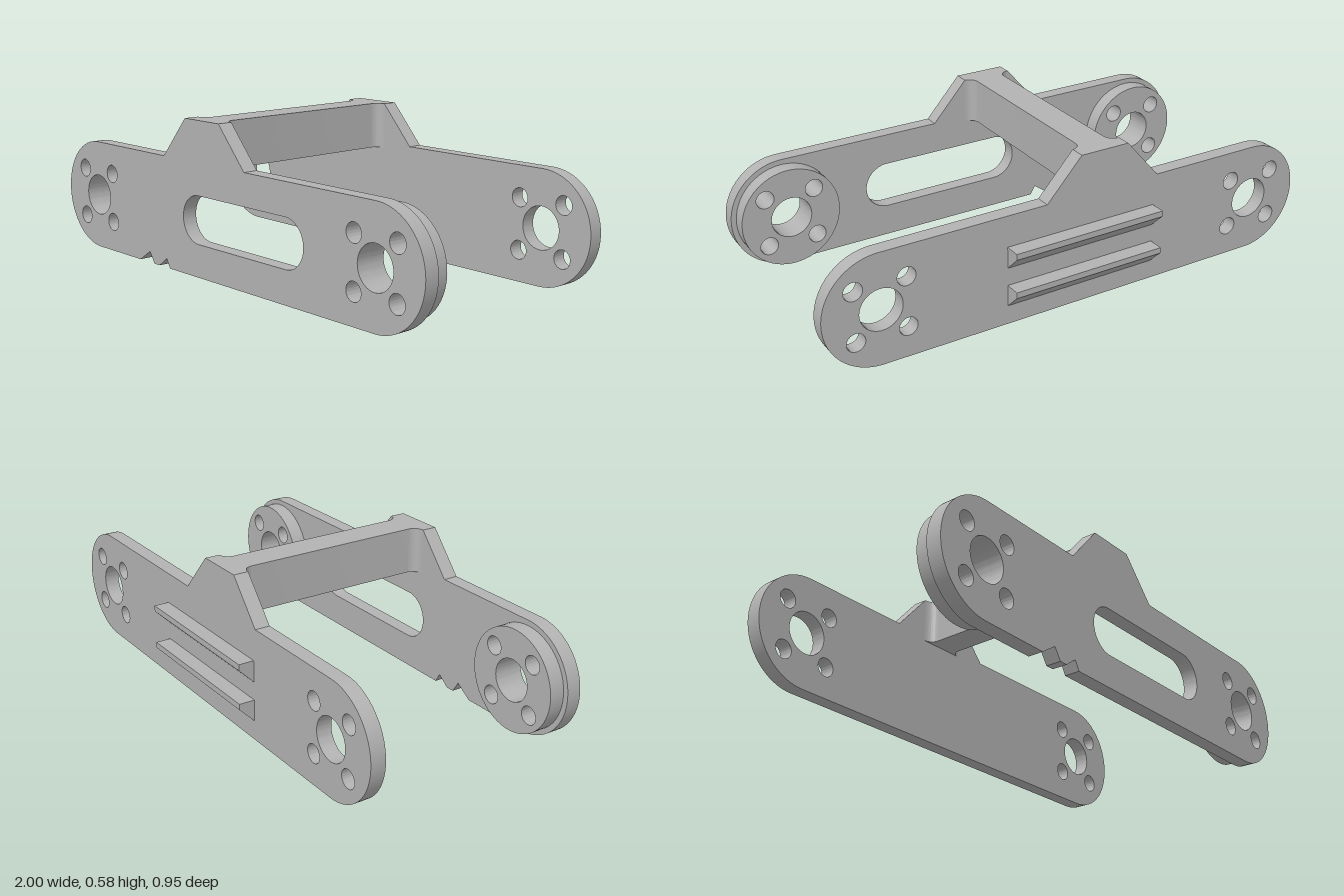
import * as THREE from 'three';
import { toCreasedNormals } from 'three/addons/utils/BufferGeometryUtils.js';

const R = 0.215;      // end radius and mid-height of the side plates
const PIVOT = 0.785;  // distance of the bearing centres from the middle
const FRONT = 0.415, BACK = -0.355; // inner faces of the plates
const THICK = 0.058;

const extrude = (shape, depth) => toCreasedNormals(
  new THREE.ExtrudeGeometry(shape, { depth, bevelEnabled: false, curveSegments: 32 }), 0.5);

const circle = (x, y, r) => new THREE.Path().absarc(x, y, r, 0, Math.PI * 2, true);

// Central bore with four bolt holes around it
function boltPattern(cx) {
  const holes = [circle(cx, R, 0.08)];
  for (const sx of [-1, 1]) for (const sy of [-1, 1])
    holes.push(circle(cx + sx * 0.097, R + sy * 0.097, 0.035));
  return holes;
}

// Rounded bar outline with a raised tab on top
function plateShape(isFront) {
  const s = new THREE.Shape();
  s.moveTo(-PIVOT, 0);
  if (isFront) { // two small notches in the lower edge
    for (const [x, y] of [[-0.505, 0], [-0.44, 0.043], [-0.412, 0],
      [-0.378, 0], [-0.33, 0.035], [-0.31, 0]]) s.lineTo(x, y);
  }
  s.lineTo(PIVOT, 0);
  s.absarc(PIVOT, R, R, -Math.PI / 2, Math.PI / 2, false);
  for (const [x, y] of [[0.14, 0.43], [0, 0.585], [-0.197, 0.585], [-0.333, 0.43]]) s.lineTo(x, y);
  s.lineTo(-PIVOT, 2 * R);
  s.absarc(-PIVOT, R, R, Math.PI / 2, Math.PI * 1.5, false);
  s.holes.push(...boltPattern(-PIVOT), ...boltPattern(PIVOT));
  if (isFront) { // long slot
    const slot = new THREE.Path(), r = 0.091, y = 0.217;
    slot.absarc(0.357, y, r, -Math.PI / 2, Math.PI / 2, false);
    slot.absarc(-0.127, y, r, Math.PI / 2, Math.PI * 1.5, false);
    slot.closePath();
    s.holes.push(slot);
  }
  return s;
}

// Plan of the crossbar, flared by fillets where it meets the plates
function crossbarShape() {
  const l = -0.157, r = -0.037, f = 0.038, a = -FRONT, b = -BACK;
  const s = new THREE.Shape();
  s.moveTo(l - f, a);
  s.lineTo(r + f, a);
  s.absarc(r + f, a + f, f, -Math.PI / 2, -Math.PI, true);
  s.lineTo(r, b - f);
  s.absarc(r + f, b - f, f, Math.PI, Math.PI / 2, true);
  s.lineTo(l - f, b);
  s.absarc(l - f, b - f, f, Math.PI / 2, 0, true);
  s.lineTo(l, a + f);
  s.absarc(l - f, a + f, f, 0, -Math.PI / 2, true);
  return s;
}

export function createModel() {
  const model = new THREE.Group();
  model.name = 'linkBracket';
  const grey = new THREE.MeshStandardMaterial({ color: 0xb2b2b2 });
  grey.name = 'plain grey';

  const add = (name, geometry, x = 0, y = 0, z = 0) => {
    const mesh = new THREE.Mesh(geometry, grey);
    mesh.name = name;
    mesh.position.set(x, y, z);
    model.add(mesh);
  };

  // Side plates
  add('frontPlate', extrude(plateShape(true), THICK), 0, 0, FRONT);
  add('backPlate', extrude(plateShape(false), THICK), 0, 0, BACK - THICK);

  // Bearing bosses on the inside of the front plate
  for (const side of [-1, 1]) {
    const disc = new THREE.Shape().absarc(side * PIVOT, R, 0.195, 0, Math.PI * 2, false);
    disc.holes.push(...boltPattern(side * PIVOT));
    add(side > 0 ? 'leftBoss' : 'rightBoss', extrude(disc, FRONT - 0.355), 0, 0, 0.355);
  }

  // Crossbar joining the two tabs
  add('crossbar', extrude(crossbarShape(), 0.175).rotateX(-Math.PI / 2), 0, 0.41, 0);

  // Wedge-shaped rails on the outside of the back plate
  const wedge = new THREE.Shape([[0, 0], [0.06, 0.06], [0.06, 0.083], [0, 0.083]]
    .map(([x, y]) => new THREE.Vector2(x, y)));
  [['upperRail', 0.226], ['lowerRail', 0.074]].forEach(([name, y]) =>
    add(name, extrude(wedge, 0.62).rotateY(Math.PI / 2), -0.32, y, BACK - THICK));

  return model;
}
